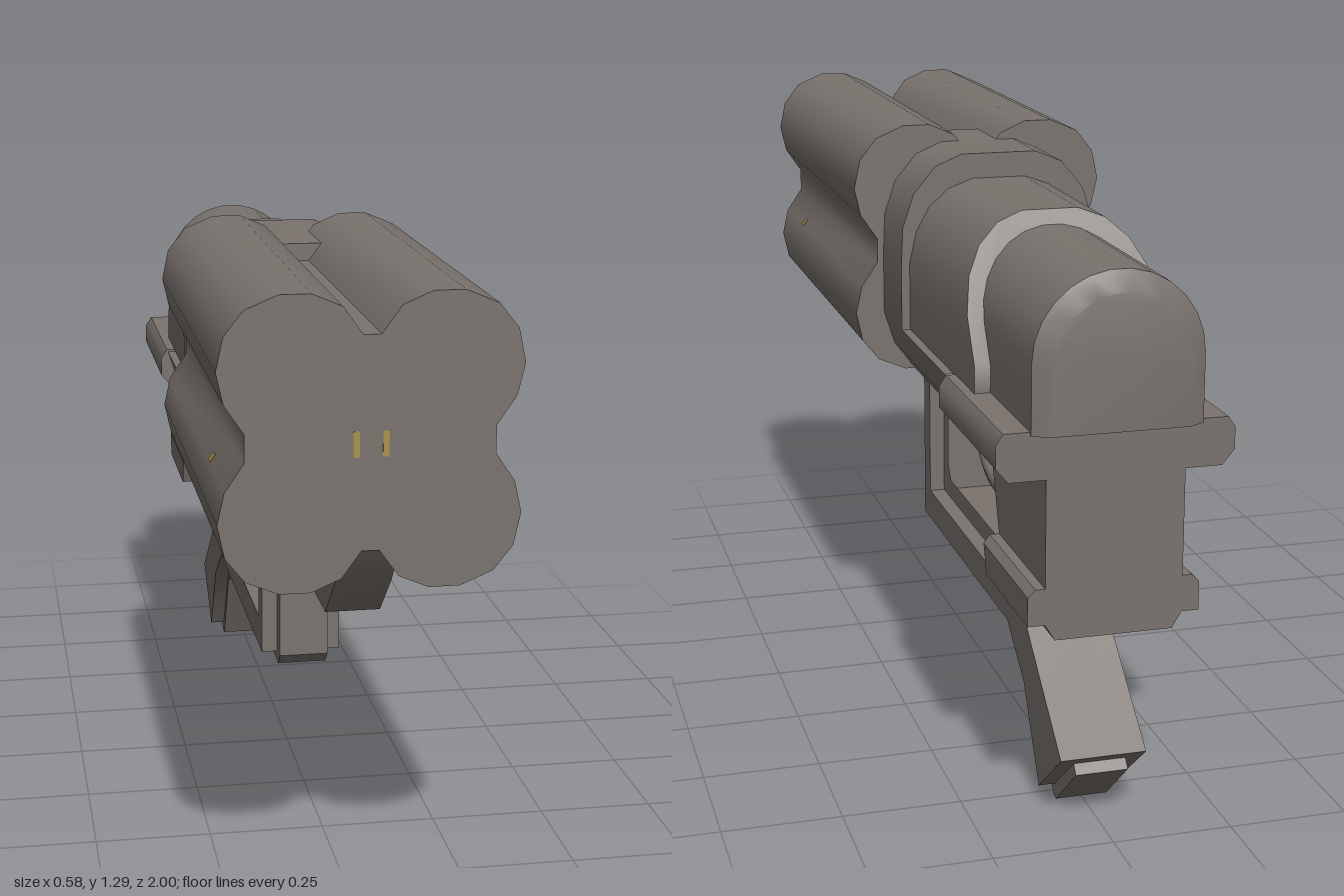
import * as THREE from 'three';
import { toCreasedNormals } from 'three/addons/utils/BufferGeometryUtils.js';

export function createModel() {
  const group = new THREE.Group();
  const steel = new THREE.MeshStandardMaterial({ color: 0x7a736e });
  steel.name = 'warm grey';
  const brass = new THREE.MeshStandardMaterial({ color: 0xa8924a });
  brass.name = 'dull yellow';

  const add = (name, geometry, material = steel) => {
    const mesh = new THREE.Mesh(geometry, material);
    mesh.name = name;
    group.add(mesh);
    return mesh;
  };
  const toShape = (pts) => new THREE.Shape(pts.map(([a, b]) => new THREE.Vector2(a, b)));
  const mirrored = (half) => [...half, ...half.map(([x, y]) => [-x, y]).reverse()];

  // Prism along z from a half outline in x and y; move() may reshape its rear end
  function prism(name, half, front, rear, move) {
    const g = new THREE.ExtrudeGeometry(toShape(mirrored(half)), { depth: front - rear, bevelEnabled: false });
    g.translate(0, 0, rear);
    if (move) {
      const p = g.attributes.position, v = new THREE.Vector3();
      for (let i = 0; i < p.count; i++) {
        v.fromBufferAttribute(p, i);
        move(v, v.z < (front + rear) / 2);
        p.setXYZ(i, v.x, v.y, v.z);
      }
    }
    return add(name, toCreasedNormals(g, 0.75));
  }

  // Plate with its outline in z and y, centred on x = 0
  function plate(name, outline, halfWidth, hole) {
    const shape = toShape(outline);
    if (hole) shape.holes.push(toShape(hole));
    const g = new THREE.ExtrudeGeometry(shape, { depth: halfWidth * 2, bevelEnabled: false });
    g.rotateY(-Math.PI / 2).translate(halfWidth, 0, 0);
    return add(name, toCreasedNormals(g, 0.4));
  }

  // Four-lobed barrel block
  const lobe = [[0.017, 1.212], [0.055, 1.265], [0.113, 1.29], [0.174, 1.29], [0.238, 1.263],
    [0.276, 1.215], [0.29, 1.15], [0.276, 1.088], [0.238, 1.032]];
  const midY = 1.005;
  prism('barrelBlock', [...lobe, ...lobe.map(([x, y]) => [x, 2 * midY - y]).reverse()], 1, 0.035);

  // Collar with its top tab, and the lower receiver running back from it
  const belly = [[0.224, 0.86], [0.2, 0.785], [0.16, 0.73], [0.1, 0.7]];
  prism('collar', [[0.085, 1.25], [0.145, 1.225], [0.195, 1.165], [0.22, 1.09], [0.224, 1.0], ...belly], 0.05, -0.145);
  prism('collarTab', [[0.045, 1.25], [0.045, 1.1]], 0.2, 0);
  prism('bellyTab', [[0.1, 0.76], [0.1, 0.7]], 0.2, 0);
  const slant = (y) => -0.53 - (0.86 - y) * 0.38;
  prism('lowerReceiver', belly, -0.1, -0.6, (v, rear) => { if (rear) v.z = slant(v.y); });

  // Upper shroud with a sloping rear edge
  prism('shroud', [[0.06, 1.195], [0.115, 1.175], [0.16, 1.135], [0.19, 1.08], [0.205, 1.01], [0.205, 0.92], [0.205, 0.86]],
    -0.1, -0.695, (v, rear) => { if (rear) v.z = Math.max(-0.695, -0.53 - (1.195 - v.y) * 0.6); });

  // Rear housing: arched section with a bevelled end
  const arch = [];
  for (let i = 0; i <= 6; i++) {
    const a = Math.PI / 2 - ((i + 0.5) / 6.5) * (Math.PI / 2);
    arch.push([0.172 * Math.cos(a), 0.995 + 0.172 * Math.sin(a)]);
  }
  arch.push([0.172, 0.855]);
  prism('rearHousing', arch, -0.4, -0.98);
  prism('rearBevel', arch, -0.98, -1, (v, rear) => {
    if (rear) { v.x *= 0.8; v.y = 0.86 + (v.y - 0.86) * 0.87; }
  });

  // Rear block: side rails above, narrower body with a lower flange
  prism('rearRails', [[0.225, 0.862], [0.24, 0.84], [0.24, 0.795], [0.215, 0.765]], -0.545, -0.975);
  prism('rearBlock', [[0.14, 0.8], [0.14, 0.545], [0.16, 0.545], [0.175, 0.53], [0.175, 0.47], [0.14, 0.47], [0.12, 0.437]],
    -0.53, -0.975, (v, rear) => { if (!rear) v.z = slant(v.y); });

  // Keel under the barrels
  plate('keel', [[1, 0.8], [0.94, 0.72], [0.83, 0.62], [0.2, 0.62], [0.2, 0.8]], 0.055);

  // Grip frame with its opening and angled handle
  plate('gripFrame', [[0.245, 0.75], [0.245, 0.31], [0.22, 0.283], [-0.53, 0.283], [-0.67, 0.19], [-0.768, 0.004],
    [-0.79, 0], [-0.92, 0.115], [-0.9, 0.14], [-0.65, 0.37], [-0.69, 0.42], [-0.545, 0.82]], 0.055,
  [[0.1, 0.69], [0.1, 0.45], [0.075, 0.42], [-0.5, 0.42], [-0.57, 0.5], [-0.54, 0.585], [-0.29, 0.585], [-0.14, 0.69]]);
  plate('gripSidePlates', [[0.2, 0.73], [0.2, 0.305], [-0.54, 0.305], [-0.665, 0.215], [-0.78, 0.03], [-0.93, 0.155],
    [-0.655, 0.37], [-0.61, 0.41], [-0.555, 0.45], [-0.5, 0.375], [0.145, 0.375], [0.145, 0.73]], 0.09);

  // Hose with a fitting at each end
  const path = new THREE.CatmullRomCurve3([[0.69, 0], [0.585, -0.02], [0.525, -0.07], [0.495, -0.14], [0.49, -0.21],
    [0.507, -0.335], [0.49, -0.42], [0.455, -0.49]].map(([y, z]) => new THREE.Vector3(0, y, z)));
  add('hose', new THREE.TubeGeometry(path, 28, 0.024, 10));
  const fitting = (name, r, length, y, z, tilt) => {
    const g = toCreasedNormals(new THREE.CylinderGeometry(r, r, length, 8), 0.3);
    const mesh = add(name, g);
    mesh.position.set(0, y, z);
    mesh.rotation.x = tilt;
  };
  fitting('upperFitting', 0.042, 0.03, 0.695, 0, 0);
  fitting('lowerFitting', 0.046, 0.08, 0.465, -0.475, 1.0);

  // Small yellow marks on the muzzle face and barrel sides
  for (const s of [1, -1]) {
    add('muzzleMark', new THREE.BoxGeometry(0.012, 0.05, 0.002), brass).position.set(s * 0.028, midY, 1);
    const mark = add('sideMark', new THREE.BoxGeometry(0.006, 0.018, 0.022), brass);
    mark.position.set(s * 0.269, 0.93, 0.775);
    mark.rotation.z = s * 0.6;
  }
  return group;
}
